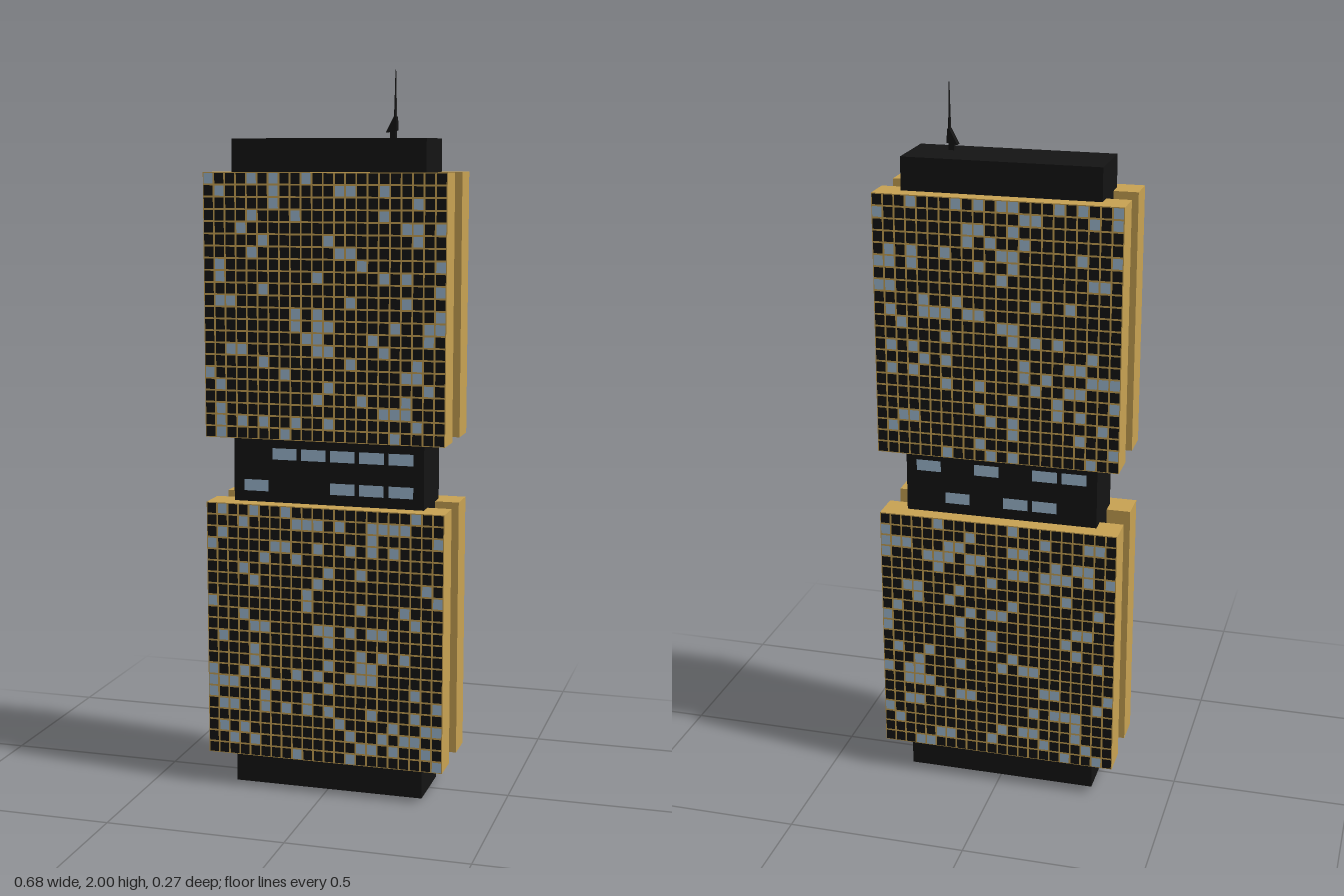
import * as THREE from 'three';
import { mergeGeometries } from 'three/addons/utils/BufferGeometryUtils.js';

const material = (color) => new THREE.MeshStandardMaterial({ color });
const dark = material(0x141414);
const gold = material(0xc9a353);
const lit = material(0x9fbbd3);

function add(parent, name, geometry, mat, x = 0, y = 0, z = 0) {
  const mesh = new THREE.Mesh(geometry, mat);
  mesh.name = name;
  mesh.position.set(x, y, z);
  parent.add(mesh);
  return mesh;
}

const pane = (w, h, x, y) => new THREE.PlaneGeometry(w, h).translate(x, y, 0);

// Small seeded random generator
function seeded(seed) {
  return () => {
    seed = (Math.imul(seed, 1664525) + 1013904223) >>> 0;
    return seed / 4294967296;
  };
}

// Gold slab whose outer face carries a grid of dark and lit panes
function createSlab(name, seed) {
  const width = 0.679, height = 0.726, depth = 0.089, count = 22;
  const slab = new THREE.Group();
  slab.name = name;
  add(slab, 'slabBody', new THREE.BoxGeometry(width, height, depth), gold);
  const random = seeded(seed);
  const dx = width / count, dy = height / count;
  const panes = { dark: [], lit: [] };
  for (let row = 0; row < count; row++) {
    for (let col = 0; col < count; col++) {
      const x = (col + 0.5) * dx - width / 2;
      const y = (row + 0.5) * dy - height / 2;
      panes[random() < 0.18 ? 'lit' : 'dark'].push(pane(dx - 0.005, dy - 0.005, x, y));
    }
  }
  const z = depth / 2 + 0.001;
  add(slab, 'darkWindows', mergeGeometries(panes.dark), dark, 0, 0, z);
  add(slab, 'litWindows', mergeGeometries(panes.lit), lit, 0, 0, z);
  return slab;
}

// Two rows of six large windows at the waist; '1' marks a lit one
function createWaistWindows(name, rows) {
  const panes = [];
  rows.forEach((row, r) => [...row].forEach((on, i) => {
    if (on === '1') panes.push(pane(0.07, 0.032, (i - 2.5) * 0.083, 0.957 - r * 0.091));
  }));
  const group = new THREE.Group();
  group.name = name;
  add(group, 'waistPanes', mergeGeometries(panes), lit, 0, 0, 0.092);
  return group;
}

export function createModel() {
  const model = new THREE.Group();
  model.name = 'towerBlock';

  // Dark core running the full height
  add(model, 'core', new THREE.BoxGeometry(0.544, 1.82, 0.182), dark, 0, 0.91, 0);

  // Front and back facades, the back turned half round
  ['front', 'back'].forEach((side, s) => {
    const facade = new THREE.Group();
    facade.name = side + 'Facade';
    facade.rotation.y = s * Math.PI;
    [['Lower', 0.457], ['Upper', 1.367]].forEach(([level, y], i) => {
      const slab = createSlab(side + level + 'Slab', 17 + s * 101 + i * 37);
      slab.position.set(0, y, 0.091);
      facade.add(slab);
    });
    const rows = s === 0 ? ['011111', '100111'] : ['101011', '010110'];
    facade.add(createWaistWindows(side + 'WaistWindows', rows));
    model.add(facade);
  });

  // Roof mast: foot, wedge-shaped mount and stepped spire
  const mast = new THREE.Group();
  mast.name = 'roofMast';
  mast.position.set(0.17, 1.82, 0.031);
  add(mast, 'mastFoot', new THREE.BoxGeometry(0.016, 0.02, 0.014), dark, -0.004, 0.01, 0);
  const wedge = new THREE.Shape([
    new THREE.Vector2(-0.022, 0.015), new THREE.Vector2(0.008, 0.02),
    new THREE.Vector2(0.006, 0.057), new THREE.Vector2(0, 0.057),
  ]);
  const wedgeGeometry = new THREE.ExtrudeGeometry(wedge, { depth: 0.022, bevelEnabled: false });
  add(mast, 'mastMount', wedgeGeometry, dark, 0, 0, -0.011);
  add(mast, 'spireBase', new THREE.CylinderGeometry(0.003, 0.005, 0.06, 8), dark, 0.002, 0.07, 0);
  add(mast, 'spireTip', new THREE.CylinderGeometry(0.001, 0.003, 0.08, 8), dark, 0.002, 0.14, 0);
  model.add(mast);

  return model;
}
